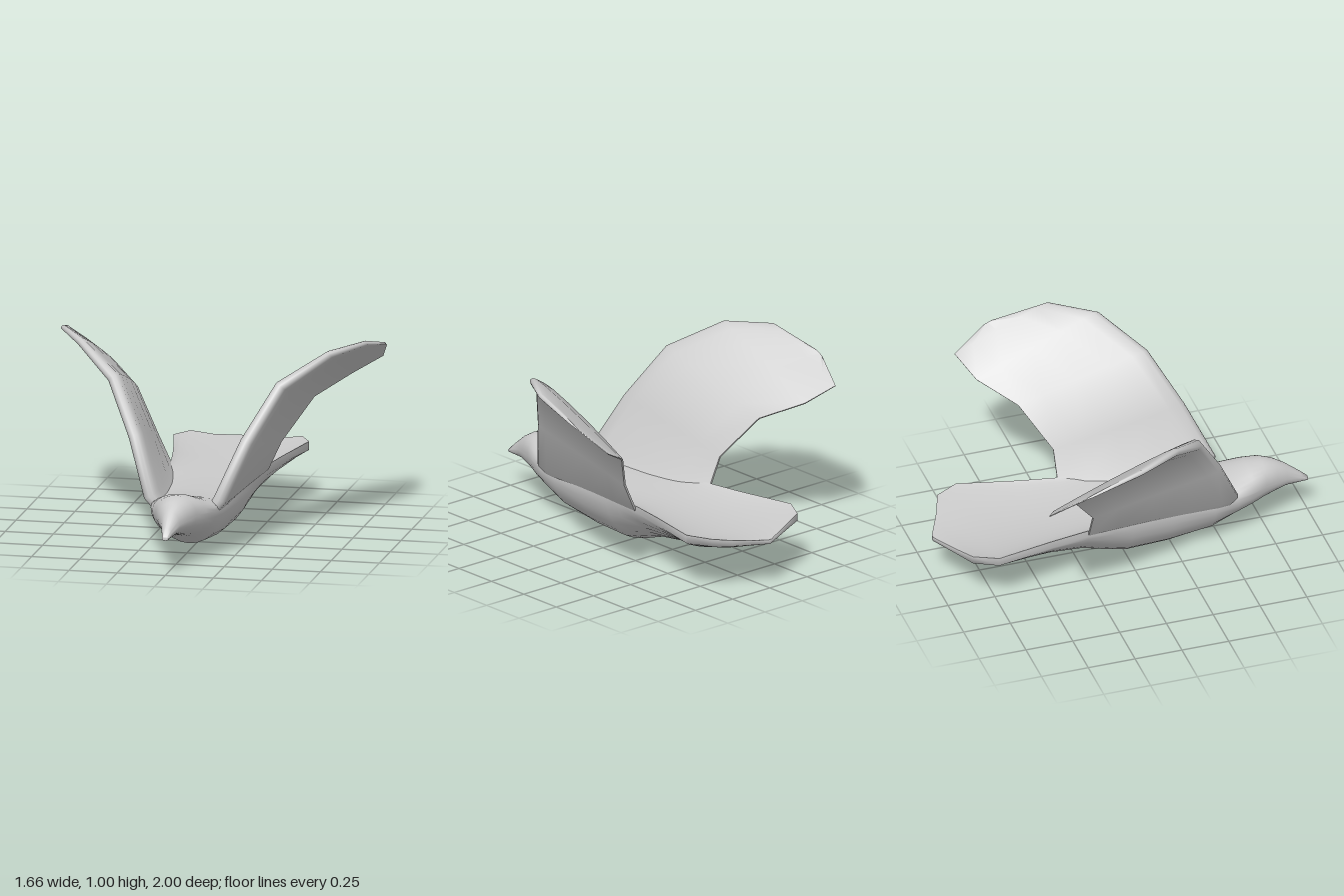
import * as THREE from 'three';
import { toCreasedNormals } from 'three/addons/utils/BufferGeometryUtils.js';

const material = new THREE.MeshStandardMaterial({ color: 0xcccccc, side: THREE.DoubleSide });

// Skin over closed rings; each ring runs counter-clockwise seen from the first end
function loft(rings) {
  const n = rings[0].length, pos = [], index = [];
  rings.forEach(r => r.forEach(p => pos.push(p.x, p.y, p.z)));
  for (let i = 0; i < rings.length - 1; i++) {
    for (let j = 0; j < n; j++) {
      const a = i * n + j, b = i * n + (j + 1) % n;
      index.push(a, a + n, b, b, a + n, b + n);
    }
  }
  // end caps
  [0, rings.length - 1].forEach((r, end) => {
    const c = new THREE.Vector3();
    rings[r].forEach(p => c.addScaledVector(p, 1 / n));
    const k = pos.length / 3;
    pos.push(c.x, c.y, c.z);
    for (let j = 0; j < n; j++) {
      const a = r * n + j, b = r * n + (j + 1) % n;
      if (end) index.push(k, b, a); else index.push(k, a, b);
    }
  });
  const g = new THREE.BufferGeometry();
  g.setAttribute('position', new THREE.Float32BufferAttribute(pos, 3));
  g.setIndex(index);
  return toCreasedNormals(g, 1.2);
}

// Section across the body: half width, top, bottom, edge height, edge half thickness, roundness
function bodyRing([z, w, top, bottom, edge, e, k]) {
  const ring = [], N = 14;
  for (const half of [0, 1]) {
    for (let i = 0; i <= N; i++) {
      const a = Math.PI * (half + i / N);
      const f = Math.pow(Math.abs(Math.sin(a)), 2 * k);
      const y0 = half ? edge - e : edge + e;
      ring.push(new THREE.Vector3(w * Math.cos(a), y0 + ((half ? bottom : top) - y0) * f, z));
    }
  }
  return ring;
}

// Beak, head, trunk and fanned tail, front to back
const BODY = [
  [1.00, 0.016, 0.208, 0.187, 0.198, 0.002, 0.5],
  [0.96, 0.026, 0.245, 0.186, 0.212, 0.002, 0.5],
  [0.88, 0.05, 0.31, 0.188, 0.24, 0.002, 0.48],
  [0.82, 0.078, 0.345, 0.178, 0.255, 0.002, 0.46],
  [0.75, 0.105, 0.365, 0.16, 0.265, 0.002, 0.44],
  [0.67, 0.14, 0.354, 0.138, 0.26, 0.002, 0.45],
  [0.58, 0.17, 0.325, 0.11, 0.255, 0.002, 0.5],
  [0.45, 0.19, 0.295, 0.045, 0.255, 0.002, 0.55],
  [0.22, 0.215, 0.275, 0.014, 0.265, 0.002, 0.58],
  [0.00, 0.23, 0.265, 0.006, 0.272, 0.004, 0.62],
  [-0.10, 0.235, 0.262, 0.03, 0.278, 0.008, 0.65],
  [-0.25, 0.25, 0.26, 0.083, 0.285, 0.018, 0.7],
  [-0.45, 0.285, 0.26, 0.12, 0.285, 0.02, 0.78],
  [-0.76, 0.352, 0.262, 0.185, 0.288, 0.022, 0.9],
  [-0.88, 0.29, 0.265, 0.215, 0.286, 0.02, 1],
  [-0.92, 0.18, 0.265, 0.225, 0.268, 0.015, 1],
  [-1.00, 0.012, 0.268, 0.245, 0.257, 0.01, 1],
];

// Wing stations, root to tip: leading point, trailing point, half thickness
const WING = [
  [[0.11, 0.2, 0.53], [0.17, 0.2, -0.2], 0.03],
  [[0.18, 0.305, 0.57], [0.25, 0.28, -0.25], 0.038],
  [[0.29, 0.585, 0.44], [0.32, 0.43, -0.25], 0.035],
  [[0.435, 0.85, 0.29], [0.46, 0.64, -0.39], 0.033],
  [[0.65, 0.985, 0.1], [0.62, 0.73, -0.56], 0.022],
  [[0.79, 1.0, -0.12], [0.765, 0.81, -0.63], 0.013],
  [[0.825, 0.93, -0.41], [0.823, 0.91, -0.46], 0.006],
];
// chord position and relative thickness
const FOIL = [[0, 0], [0.008, 0.55], [0.035, 0.9], [0.12, 1], [0.3, 0.9], [0.55, 0.68], [0.8, 0.4], [1, 0.15]];

function wingGeometry(side) {
  const v = WING.map(([l, t]) => [new THREE.Vector3(...l), new THREE.Vector3(...t)]);
  const mid = v.map(([l, t]) => l.clone().add(t).multiplyScalar(0.5));
  const rings = WING.map(([, , thick], i) => {
    const [lead, trail] = v[i];
    const span = mid[Math.min(i + 1, mid.length - 1)].clone().sub(mid[Math.max(i - 1, 0)]);
    const up = span.cross(trail.clone().sub(lead)).normalize();
    const at = (c, h) => {
      const p = lead.clone().lerp(trail, c).addScaledVector(up, h * thick + thick * 0.8 * c * (1 - c));
      p.x *= side;
      return p;
    };
    const ring = [
      ...FOIL.map(([c, h]) => at(c, h)),
      ...FOIL.slice(1).reverse().map(([c, h]) => at(c, -h)),
    ];
    return side < 0 ? ring.reverse() : ring;
  });
  return loft(rings);
}

export function createModel() {
  const model = new THREE.Group();
  model.name = 'bird';
  const add = (name, geometry) => {
    const mesh = new THREE.Mesh(geometry, material);
    mesh.name = name;
    model.add(mesh);
  };
  add('bodyAndTail', loft(BODY.map(bodyRing)));
  add('leftWing', wingGeometry(1));
  add('rightWing', wingGeometry(-1));
  return model;
}
